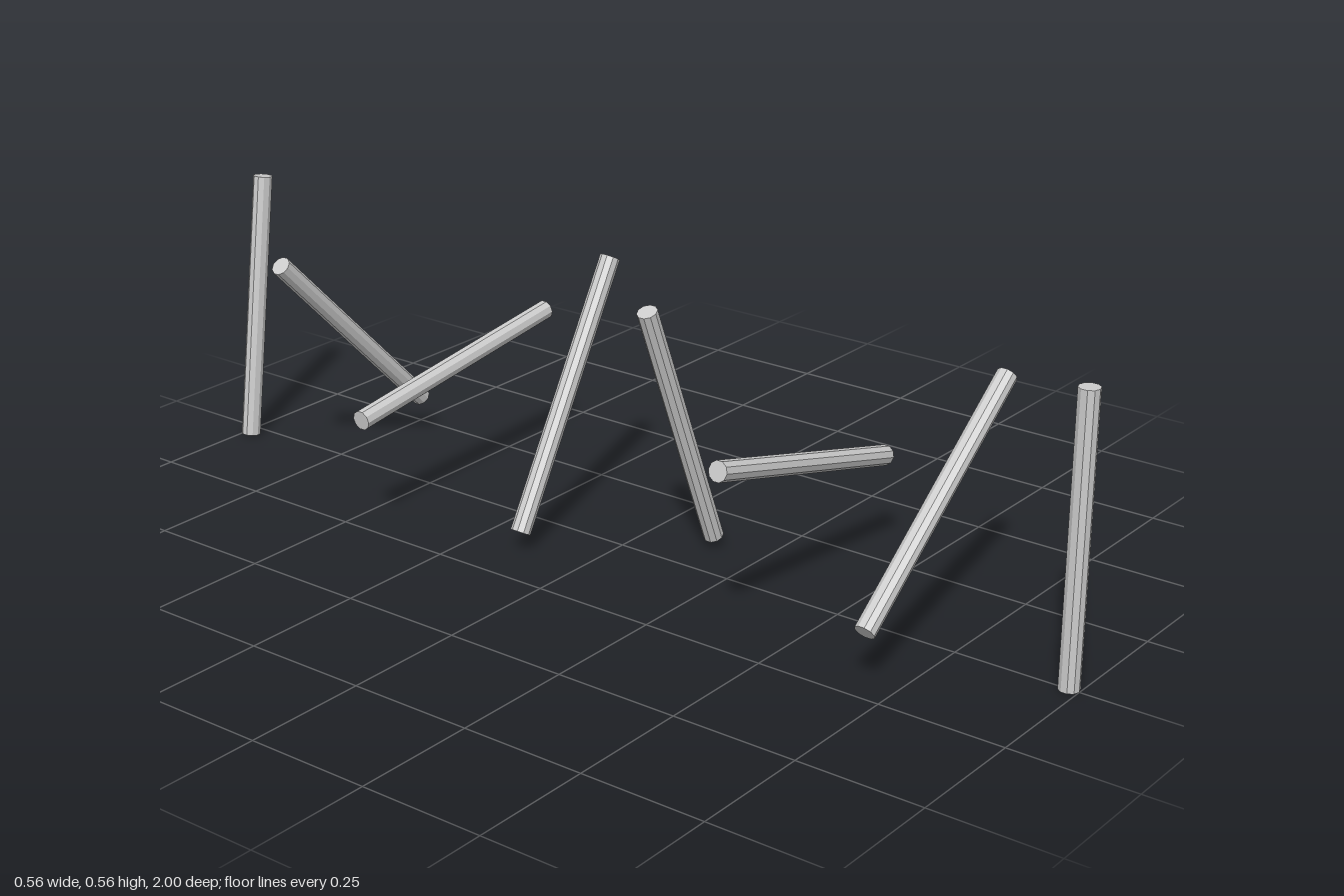
import * as THREE from 'three';

const COUNT = 8;
const SPACING = 0.28;
const LENGTH = 0.56;
const RADIUS = 0.02;
const TWIST = THREE.MathUtils.degToRad(52.5);

export function createModel() {
  const model = new THREE.Group();
  model.name = 'twistedRodRow';
  const material = new THREE.MeshStandardMaterial({ color: 0xcccccc, flatShading: true });
  const rodGeometry = new THREE.CylinderGeometry(RADIUS, RADIUS, LENGTH, 10);

  // Rods in a row from front to back, each turned clockwise by one more step
  for (let i = 0; i < COUNT; i++) {
    const rod = new THREE.Mesh(rodGeometry, material);
    rod.name = `rod${i + 1}`;
    rod.position.set(0, LENGTH / 2, ((COUNT - 1) / 2 - i) * SPACING);
    rod.rotation.z = -i * TWIST;
    model.add(rod);
  }
  return model;
}
